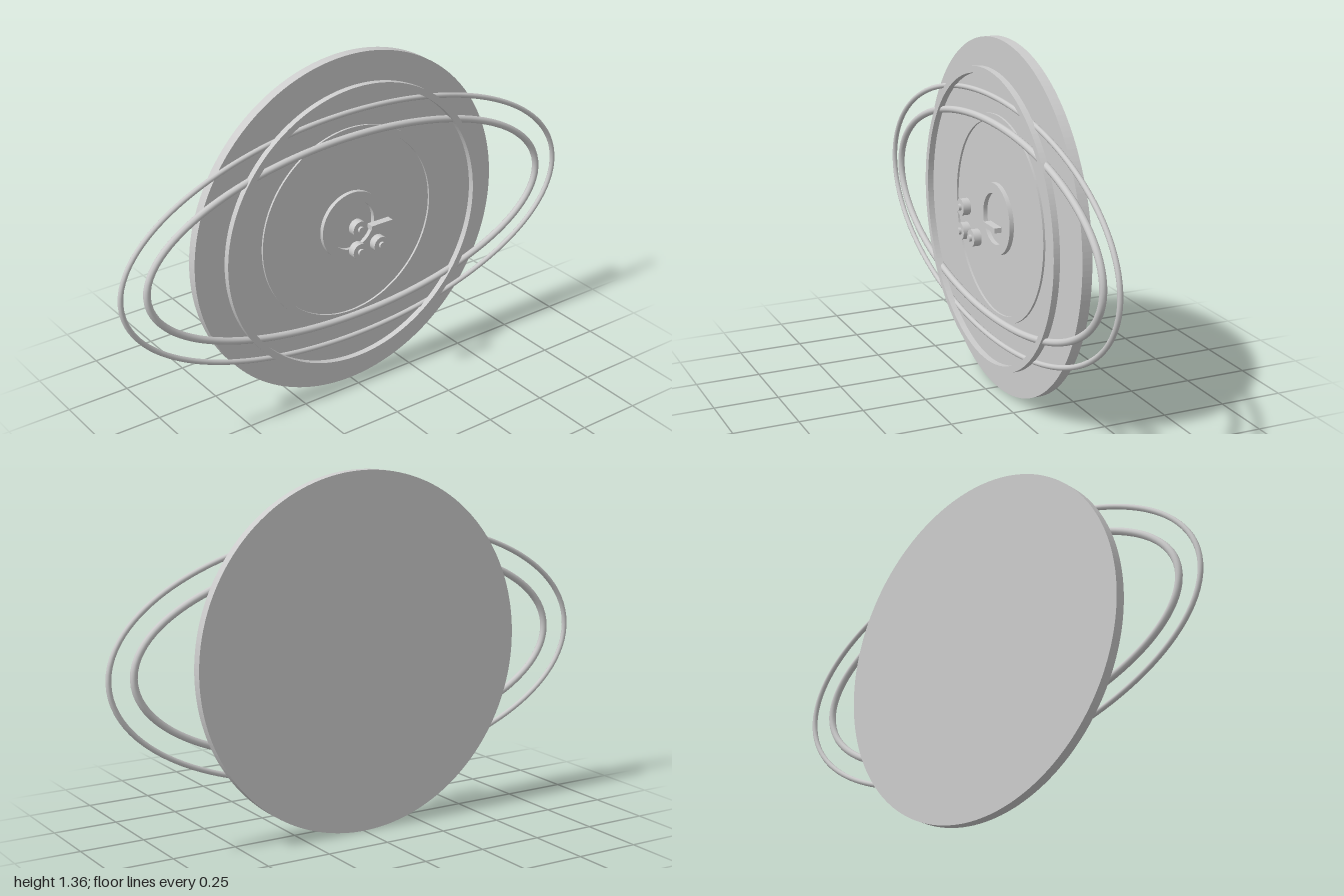
import * as THREE from 'three';

const CY = 0.678; // height of the common centre

// Flat annulus (or full disc when inner is 0) extruded from z0 to z1
function plate(outer, inner, z0, z1) {
  const shape = new THREE.Shape().absarc(0, 0, outer, 0, Math.PI * 2, false);
  if (inner > 0) shape.holes.push(new THREE.Path().absarc(0, 0, inner, 0, Math.PI * 2, true));
  const geo = new THREE.ExtrudeGeometry(shape, { depth: z1 - z0, bevelEnabled: false, curveSegments: 96 });
  return geo.translate(0, 0, z0);
}

// Round tube swept along an ellipse with half axes a and b
class Ellipse extends THREE.Curve {
  constructor(a, b) { super(); this.a = a; this.b = b; }
  getPoint(t, target = new THREE.Vector3()) {
    const w = t * Math.PI * 2;
    return target.set(this.a * Math.cos(w), this.b * Math.sin(w), 0);
  }
}
function ellipseTube(a, b, r, z) {
  return new THREE.TubeGeometry(new Ellipse(a - r, b - r), 160, r, 10, true).translate(0, 0, z);
}

export function createModel() {
  const model = new THREE.Group();
  model.name = 'ringedDial';
  const grey = new THREE.MeshStandardMaterial({ color: 0xcccccc });
  grey.name = 'light grey';

  const add = (name, geo, parent = model) => {
    const mesh = new THREE.Mesh(geo, grey);
    mesh.name = name;
    parent.add(mesh);
    return mesh;
  };

  const dial = new THREE.Group();
  dial.name = 'dial';
  dial.position.y = CY;
  model.add(dial);

  // Back disc and the concentric rings in front of it
  add('backDisc', plate(0.678, 0, -0.09, -0.052), dial);
  add('middleRing', plate(0.396, 0.37, -0.052, -0.044), dial);
  add('hubRing', plate(0.137, 0.098, -0.052, -0.035), dial);
  add('outerRing', plate(0.574, 0.549, -0.02, 0.004), dial);

  // Elliptical orbit rings
  add('largeOrbit', ellipseTube(1.0, 0.48, 0.01, -0.026), dial);
  add('smallOrbit', ellipseTube(0.905, 0.39, 0.0135, -0.017), dial);

  // Pointer bar
  add('pointer', new THREE.BoxGeometry(0.096, 0.019, 0.03).translate(0.091, 0, 0.013), dial);

  // Three knobs, each a short drum with a small pin
  for (const [x, y] of [[-0.049, 0.047], [-0.049, -0.046], [0.047, -0.046]]) {
    const knob = new THREE.Group();
    knob.name = 'knob';
    knob.position.set(x, y, 0);
    dial.add(knob);
    add('knobDrum', new THREE.CylinderGeometry(0.032, 0.032, 0.03, 32).rotateX(Math.PI / 2).translate(0, 0, 0.066), knob);
    add('knobPin', new THREE.CylinderGeometry(0.013, 0.013, 0.012, 24).rotateX(Math.PI / 2).translate(0, 0, 0.085), knob);
  }
  return model;
}
